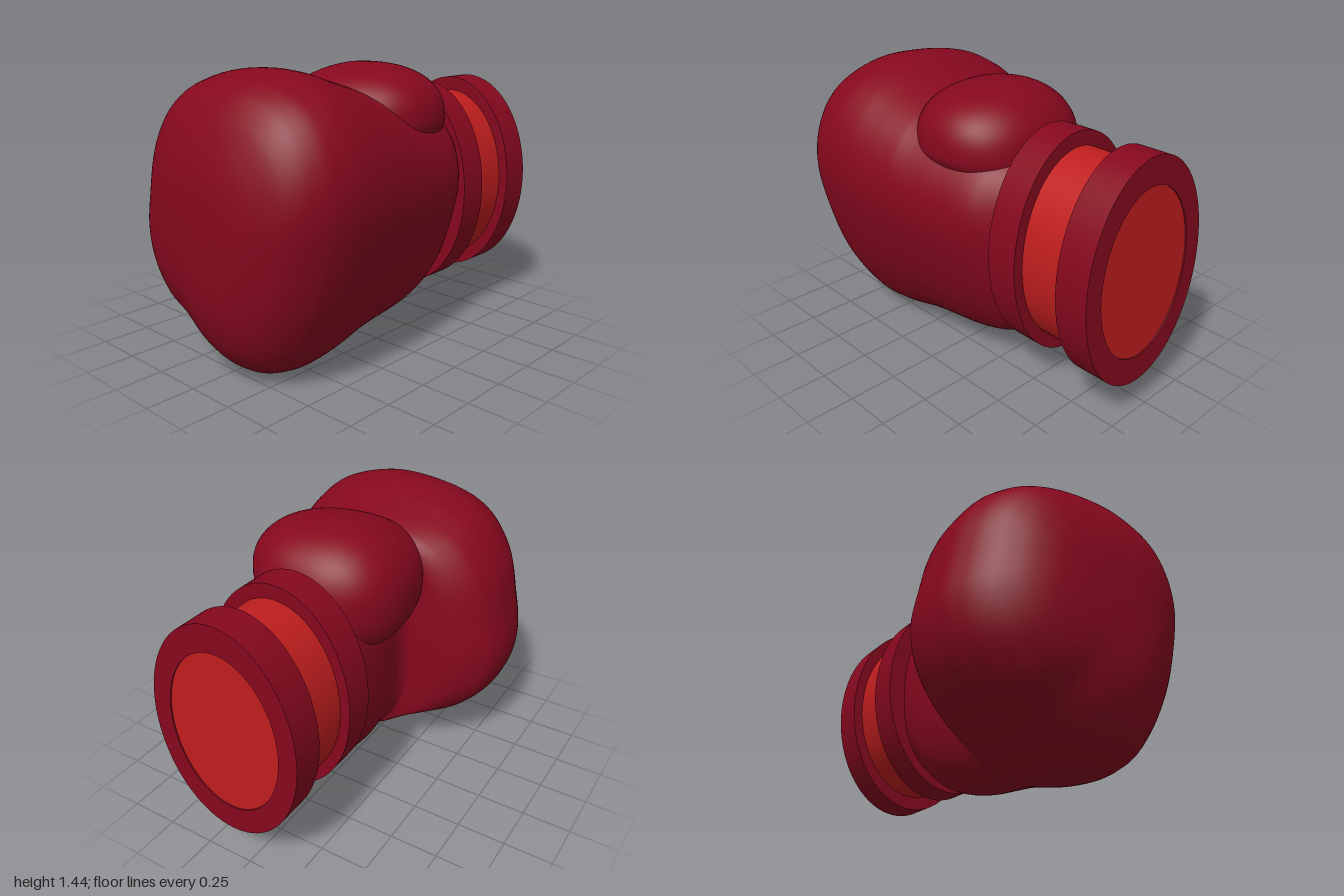
import * as THREE from 'three';
import { mergeVertices } from 'three/addons/utils/BufferGeometryUtils.js';

const leather = new THREE.MeshStandardMaterial({ color: 0x86081e });
leather.name = 'dark red leather';
const lining = new THREE.MeshStandardMaterial({ color: 0xc01e1e });
lining.name = 'bright red band';

const SEG = 96;
const AXIS_X = 0.1; // the hand's sections open left and right from this line

// Weld the vertices so the surface shades smoothly across seams
function welded(geometry) {
  geometry.deleteAttribute('uv');
  geometry.deleteAttribute('normal');
  return mergeVertices(geometry, 1e-4);
}

// Fist outline in the xy plane, counter-clockwise seen from the front, scaled to a unit box
const fistCurve = new THREE.CatmullRomCurve3([
  [0.655, 0.92], [0.615, 1.14], [0.49, 1.32], [0.2, 1.434], [-0.18, 1.41], [-0.4, 1.32],
  [-0.55, 1.13], [-0.62, 0.88], [-0.655, 0.65], [-0.6, 0.43], [-0.45, 0.25], [-0.28, 0.165],
  [-0.1, 0.045], [0.1, 0], [0.31, 0.07], [0.49, 0.32], [0.6, 0.62],
].map(([x, y]) => {
  const d = x - AXIS_X;
  return new THREE.Vector3(d / (d > 0 ? 0.555 : 0.755), y / 0.717 - 1, 0);
}), true);

// Resample the outline by angle so that it blends with the wrist outline
function fistRadius() {
  const pts = fistCurve.getPoints(2000).map((p) => [Math.atan2(p.y, p.x), Math.hypot(p.x, p.y)]);
  return Array.from({ length: SEG }, (_, i) => {
    const a = (i / SEG) * Math.PI * 2;
    const gap = (p) => 1 - Math.cos(p[0] - a);
    return pts.reduce((best, p) => (gap(p) < gap(best) ? p : best))[1];
  });
}

// Hand: cross-sections along z [z, left edge, right edge, top, bottom, fist blend of the curled side]
function handGeometry() {
  const keys = [
    [-0.5, -0.2, 0.38, 1.12, 0.3, 0],
    [-0.42, -0.22, 0.44, 1.17, 0.24, 0],
    [-0.3, -0.23, 0.52, 1.22, 0.15, 0],
    [-0.1, -0.22, 0.565, 1.26, 0.1, 0],
    [0.06, -0.2, 0.595, 1.29, 0.085, 0],
    [0.13, -0.23, 0.607, 1.315, 0.077, 0.3],
    [0.155, -0.41, 0.611, 1.325, 0.073, 0.65],
    [0.21, -0.53, 0.618, 1.342, 0.064, 0.9],
    [0.32, -0.63, 0.634, 1.375, 0.036, 1],
    [0.45, -0.655, 0.648, 1.415, 0.01, 1],
    [0.57, -0.65, 0.652, 1.434, 0, 1],
    [0.7, -0.61, 0.635, 1.41, 0.02, 1],
    [0.8, -0.55, 0.59, 1.36, 0.075, 1],
    [0.88, -0.46, 0.52, 1.27, 0.16, 1],
    [0.94, -0.35, 0.41, 1.15, 0.27, 1],
    [0.975, -0.23, 0.31, 1.04, 0.38, 1],
    [0.993, -0.08, 0.21, 0.92, 0.52, 1],
    [1, 0.08, 0.12, 0.73, 0.71, 1],
  ];
  const fist = fistRadius();
  const pos = [], idx = [];
  // Monotone slopes keep the tight knuckle and palm turns free of ripples
  const slope = (j, c) => {
    if (j <= 0 || j >= keys.length - 1) return 0;
    const a = (keys[j][c] - keys[j - 1][c]) / (keys[j][0] - keys[j - 1][0]);
    const b = (keys[j + 1][c] - keys[j][c]) / (keys[j + 1][0] - keys[j][0]);
    return a * b <= 0 ? 0 : (2 * a * b) / (a + b);
  };
  const hermite = (i, c, t) => {
    const h = keys[i + 1][0] - keys[i][0], u = 1 - t;
    return keys[i][c] * (1 + 2 * t) * u * u + slope(i, c) * h * t * u * u
      + keys[i + 1][c] * t * t * (3 - 2 * t) - slope(i + 1, c) * h * t * t * u;
  };
  const STEPS = 6, rings = (keys.length - 1) * STEPS + 1;
  for (let r = 0; r < rings; r++) {
    const i = Math.min(Math.floor(r / STEPS), keys.length - 2), t = r / STEPS - i;
    const z = keys[i][0] + (keys[i + 1][0] - keys[i][0]) * t;
    const [left, right, top, bottom, blend] = [1, 2, 3, 4, 5].map((c) => hermite(i, c, t));
    for (let s = 0; s < SEG; s++) {
      const a = (s / SEG) * Math.PI * 2, cx = Math.cos(a), sy = Math.sin(a);
      // The outer side keeps the fist outline all along; the curled side turns from wrist to fist
      const wrist = (Math.abs(cx) ** 2.4 + Math.abs(sy) ** 2.4) ** (-1 / 2.4);
      const rad = cx > 0 ? fist[s] : wrist + (fist[s] - wrist) * blend;
      const half = cx > 0 ? right - AXIS_X : AXIS_X - left;
      pos.push(AXIS_X + half * rad * cx, (top + bottom) / 2 + ((top - bottom) / 2) * rad * sy, z);
      if (r < rings - 1) {
        const n = (s + 1) % SEG, p = r * SEG;
        idx.push(p + s, p + n, p + SEG + s, p + n, p + SEG + n, p + SEG + s);
      }
    }
  }
  // Close the knuckle end
  const last = (rings - 1) * SEG;
  pos.push(AXIS_X, 0.72, 1);
  for (let s = 0; s < SEG; s++) idx.push(last + s, last + ((s + 1) % SEG), last + SEG);
  const g = new THREE.BufferGeometry();
  g.setAttribute('position', new THREE.Float32BufferAttribute(pos, 3));
  g.setIndex(idx);
  g.computeVertexNormals();
  return g;
}

// Thumb: a padded, slightly boxy ellipsoid, longer in front and hanging lower on the palm side
function thumbGeometry() {
  const g = welded(new THREE.SphereGeometry(1, 64, 48));
  const p = g.attributes.position, n = 2.3;
  for (let i = 0; i < p.count; i++) {
    const d = [p.getX(i), p.getY(i), p.getZ(i)];
    const k = d.reduce((sum, v) => sum + Math.abs(v) ** n, 0) ** (-1 / n);
    const [x, y, z] = d.map((v) => v * k);
    const front = z > 0 ? (0.41 - 0.1 * x) * z : 0.36 * z;
    const height = y > 0 ? 0.3 * y : (0.27 - 0.13 * x) * y;
    p.setXYZ(i, 0.095 + 0.405 * x, 1.13 + height - 0.03 * Math.max(z, 0) * y + 0.03 * x * (1 - y * y), -0.07 + front);
  }
  g.computeVertexNormals();
  return g;
}

// Elliptical cylinder lying along z
function drum(name, rx, ry, z0, z1, material) {
  const g = new THREE.CylinderGeometry(1, 1, z1 - z0, SEG);
  g.rotateX(Math.PI / 2);
  g.scale(rx, ry, 1);
  const mesh = new THREE.Mesh(g, material);
  mesh.name = name;
  mesh.position.set(0.085, 0.738, (z0 + z1) / 2);
  return mesh;
}

// Rim with an elliptical opening
function openRim(name, rx, ry, hole, z0, z1) {
  const shape = new THREE.Shape().absellipse(0, 0, rx, ry, 0, Math.PI * 2);
  shape.holes.push(new THREE.Path().absellipse(0, 0, rx * hole, ry * hole, 0, Math.PI * 2, true));
  const g = new THREE.ExtrudeGeometry(shape, { depth: z1 - z0, bevelEnabled: false, curveSegments: SEG });
  const mesh = new THREE.Mesh(g, leather);
  mesh.name = name;
  mesh.position.set(0.085, 0.738, z0);
  return mesh;
}

export function createModel() {
  const glove = new THREE.Group();
  glove.name = 'boxingGlove';

  const hand = new THREE.Mesh(handGeometry(), leather);
  hand.name = 'hand';
  const thumb = new THREE.Mesh(thumbGeometry(), leather);
  thumb.name = 'thumb';

  // Cuff: two rims around a bright band, with the lining showing in the opening
  const cuff = new THREE.Group();
  cuff.name = 'cuff';
  cuff.add(
    drum('frontRim', 0.398, 0.558, -0.585, -0.42, leather),
    drum('wristBand', 0.347, 0.484, -0.84, -0.575, lining),
    openRim('backRim', 0.398, 0.558, 0.755, -1, -0.83),
    drum('openingLining', 0.31, 0.435, -0.993, -0.84, lining),
  );

  glove.add(hand, thumb, cuff);
  return glove;
}
